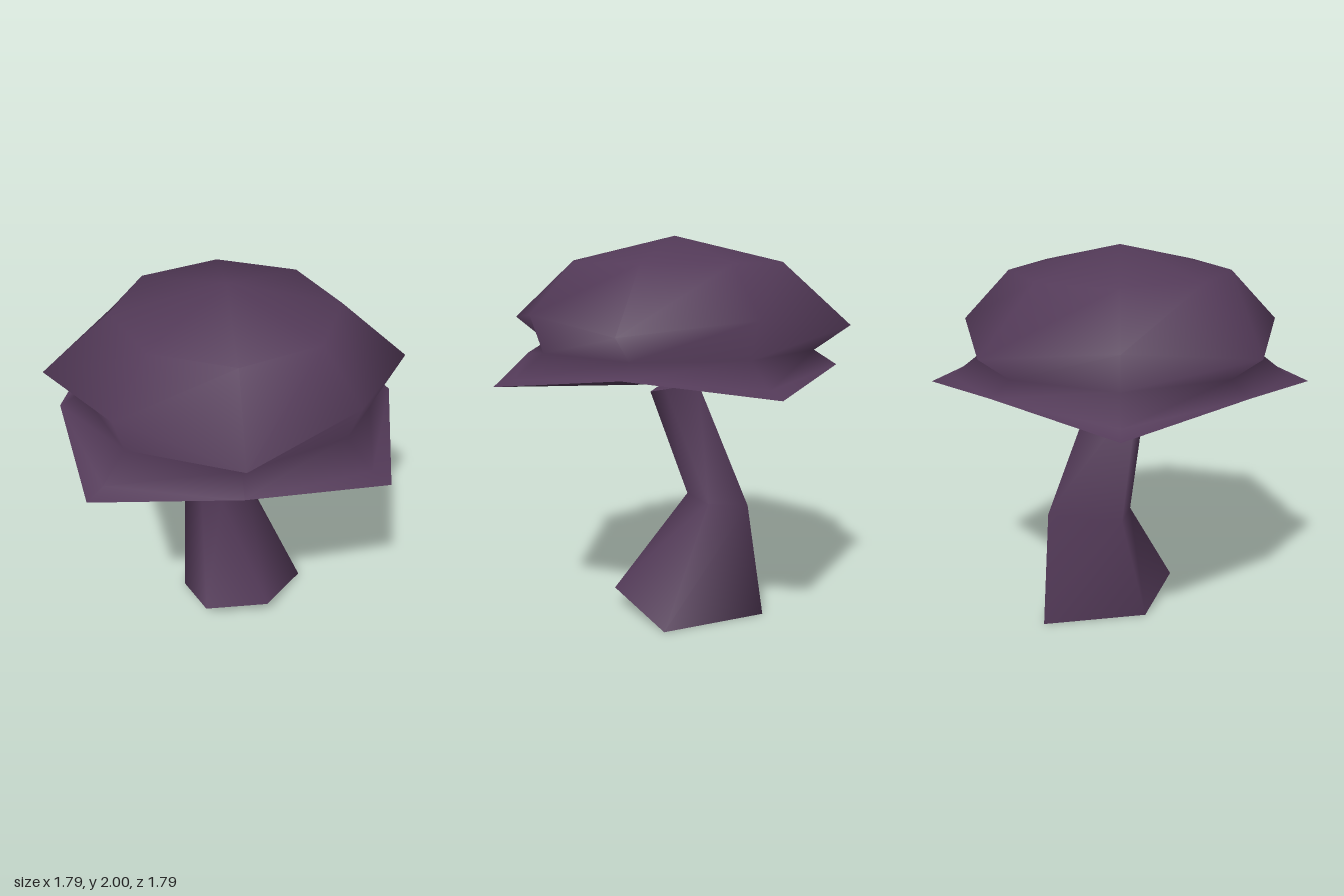
import * as THREE from 'three';
import { mergeVertices } from 'three/addons/utils/BufferGeometryUtils.js';

// Skin between rings of equal point count, listed bottom to top
function loft(rings) {
  const n = rings[0].length;
  const index = [];
  for (let j = 0; j < rings.length - 1; j++) {
    for (let i = 0; i < n; i++) {
      const a = j * n + i;
      const b = j * n + (i + 1) % n;
      index.push(a, a + n, b, b, a + n, b + n);
    }
  }
  const geometry = new THREE.BufferGeometry();
  geometry.setAttribute('position', new THREE.Float32BufferAttribute(rings.flat(2), 3));
  geometry.setIndex(index);
  const merged = mergeVertices(geometry, 1e-4);
  merged.computeVertexNormals();
  return merged;
}

// Eight-sided ring whose corners alternate between two radii and heights
function octagon(r1, y1, r2 = r1, y2 = y1) {
  return Array.from({ length: 8 }, (_, i) => {
    const angle = Math.atan2(1, 3) + i * Math.PI / 4;
    const r = i % 2 ? r2 : r1;
    return [r * Math.cos(angle), i % 2 ? y2 : y1, r * Math.sin(angle)];
  });
}

// All points of a ring drawn together to close an end
const pinch = (ring, point) => ring.map(() => point);

export function createModel() {
  const group = new THREE.Group();
  const purple = new THREE.MeshStandardMaterial({ color: 0x533a58 });
  purple.name = 'dusky purple';
  purple.side = THREE.DoubleSide;
  const add = (name, rings) => {
    const mesh = new THREE.Mesh(loft(rings), purple);
    mesh.name = name;
    group.add(mesh);
  };

  // Cap: drooping brim, pinched waist and domed crown
  const rim = octagon(0.855, 1.36, 1.0, 1.28);
  const crown = octagon(0.57, 1.87);
  add('cap', [
    rim,
    octagon(0.855, 1.36, 0.894, 1.31),
    octagon(0.74, 1.43),
    octagon(0.92, 1.56, 0.805, 1.62),
    crown,
    pinch(crown, [0, 2, 0]),
  ]);

  // Shallow cone under the brim
  add('capUnderside', [pinch(rim, [0, 1.22, 0]), rim]);

  // Bent five-sided stem with a flared, tilted foot
  const foot = [[0.45, 0, 0.07], [0.11, 0.115, 0.33], [-0.22, 0.1, 0.21], [-0.22, 0, -0.13], [0.23, 0, -0.465]];
  const bend = [[0.2, 0.61, -0.17], [0, 0.615, -0.07], [-0.11, 0.61, -0.1], [-0.145, 0.6, -0.27], [0.24, 0.61, -0.375]];
  const neck = [[0.11, 1.21, 0.05], [0, 1.18, 0.13], [-0.11, 1.19, 0.09], [-0.125, 1.22, -0.05], [0.1, 1.24, -0.12]];
  add('stem', [foot, bend, neck]);
  add('stemBase', [pinch(foot, [0.06, 0.04, 0]), foot]);
  add('stemTop', [neck, pinch(neck, [0, 1.23, 0.02])]);

  return group;
}
